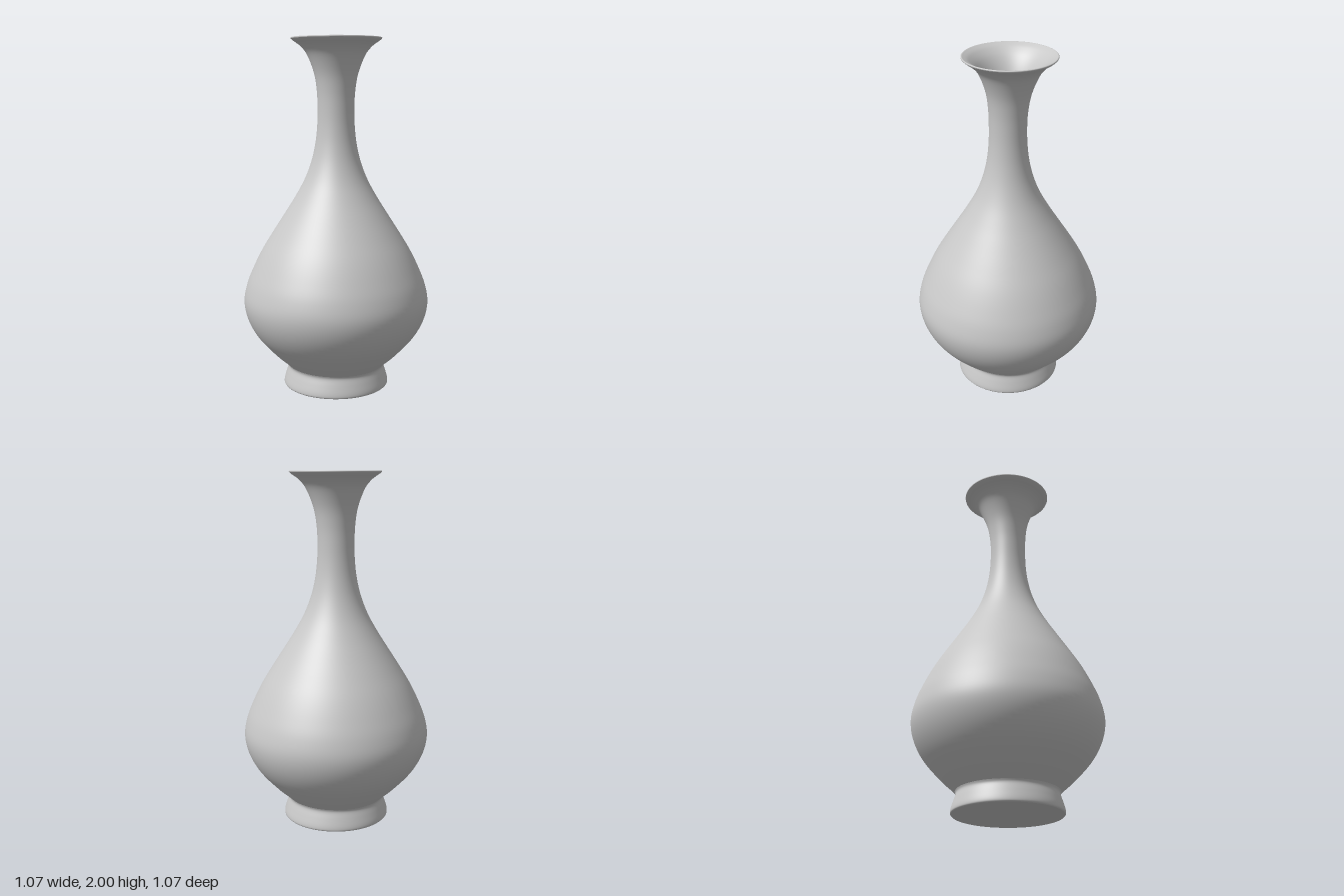
import * as THREE from 'three';

const SEGMENTS = 96;

// Smooth curve through [radius, height] points
function smooth(points, divisions) {
  return new THREE.SplineCurve(points.map(([r, y]) => new THREE.Vector2(r, y))).getPoints(divisions);
}

function lathe(name, profile, material) {
  const geometry = new THREE.LatheGeometry(profile, SEGMENTS);
  // The flared mouth sits very slightly off the axis
  const p = geometry.attributes.position;
  for (let i = 0; i < p.count; i++) {
    const t = THREE.MathUtils.smoothstep(p.getY(i), 1.6, 2);
    p.setX(i, p.getX(i) + 0.008 * t);
    p.setZ(i, p.getZ(i) - 0.006 * t);
  }
  const mesh = new THREE.Mesh(geometry, material);
  mesh.name = name;
  return mesh;
}

export function createModel() {
  const glaze = new THREE.MeshStandardMaterial({ color: 0xc8c8c8 });
  glaze.name = 'grey glaze';
  const vase = new THREE.Group();
  vase.name = 'vase';

  // Closed underside
  const base = new THREE.Mesh(new THREE.CircleGeometry(0.3, SEGMENTS), glaze);
  base.name = 'base';
  base.rotation.x = Math.PI / 2;
  vase.add(base);

  // Splayed foot ring
  vase.add(lathe('foot', smooth([
    [0.3, 0], [0.305, 0.008], [0.302, 0.03], [0.29, 0.07], [0.279, 0.105], [0.283, 0.122],
  ], 20), glaze));

  // Pear-shaped body rising into the slender neck and flared mouth
  vase.add(lathe('body', smooth([
    [0.283, 0.122], [0.313, 0.15], [0.368, 0.2], [0.458, 0.3], [0.513, 0.4], [0.533, 0.5],
    [0.515, 0.6], [0.475, 0.7], [0.425, 0.8], [0.364, 0.9], [0.3, 1], [0.237, 1.1],
    [0.182, 1.2], [0.143, 1.3], [0.119, 1.4], [0.107, 1.5], [0.104, 1.6], [0.108, 1.7],
    [0.124, 1.8], [0.162, 1.9], [0.2, 1.95], [0.242, 1.981], [0.255, 1.992],
  ], 110), glaze));

  // Rounded lip
  vase.add(lathe('lip', smooth([
    [0.255, 1.992], [0.256, 1.997], [0.252, 2], [0.246, 1.998],
  ], 8), glaze));

  // Inside of the mouth and neck, running down to a closed floor
  vase.add(lathe('throat', smooth([
    [0.246, 1.998], [0.215, 1.98], [0.175, 1.94], [0.14, 1.88], [0.112, 1.8],
    [0.094, 1.7], [0.086, 1.6], [0.085, 1.5], [0.08, 1.46],
  ], 50), glaze));
  const floor = new THREE.Mesh(new THREE.CircleGeometry(0.08, SEGMENTS), glaze);
  floor.name = 'throatFloor';
  floor.rotation.x = -Math.PI / 2;
  floor.position.y = 1.46;
  vase.add(floor);

  return vase;
}
